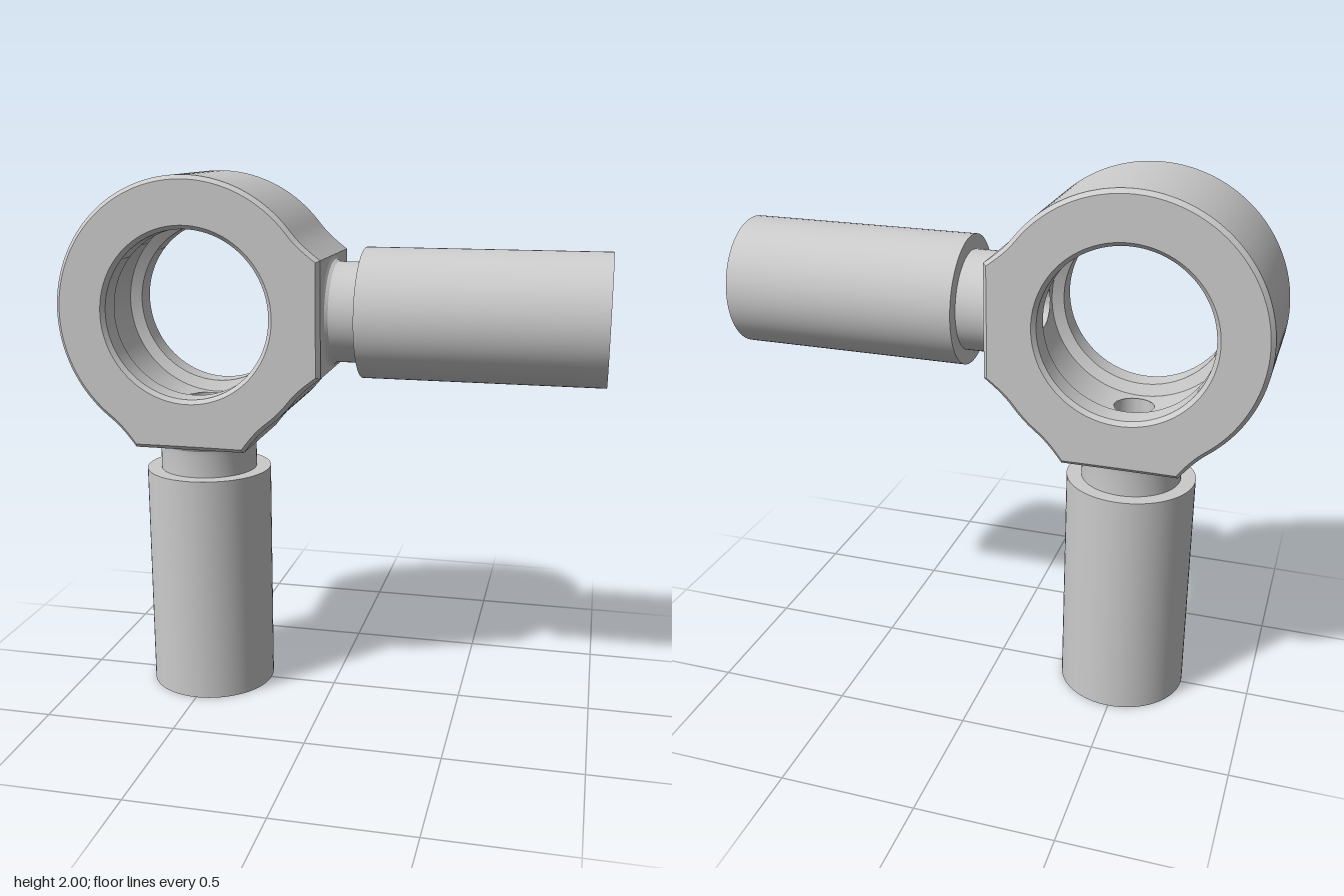
import * as THREE from 'three';
import { toCreasedNormals } from 'three/addons/utils/BufferGeometryUtils.js';

const RING_R = 0.5, BORE = 0.31, GROOVE = 0.35, HALF = 0.24, BEVEL = 0.015, HOLE = 0.074;
const BOSS = 0.21;                                   // half width of each flat boss
const BOSS_DEG = THREE.MathUtils.radToDeg(Math.atan(BOSS / RING_R));
const PATCH_DEG = 20, FILLET_DEG = 38, GROOVE_Z = 0.12;
const rad = THREE.MathUtils.degToRad;

const material = new THREE.MeshStandardMaterial({ color: 0xcccccc });

function addMesh(parent, name, geometry) {
  const mesh = new THREE.Mesh(toCreasedNormals(geometry, 0.4), material);
  mesh.name = name;
  parent.add(mesh);
}

// Grid surface over two parameter lists; cells can be left out
function grid(us, vs, point, skip = () => false) {
  const pos = [], index = [], w = vs.length;
  us.forEach(u => vs.forEach(v => pos.push(...point(u, v))));
  for (let i = 0; i < us.length - 1; i++) {
    for (let j = 0; j < w - 1; j++) {
      if (skip((us[i] + us[i + 1]) / 2, j)) continue;
      const a = i * w + j, b = a + w;
      index.push(a, b, a + 1, b, b + 1, a + 1);
    }
  }
  const g = new THREE.BufferGeometry();
  g.setAttribute('position', new THREE.Float32BufferAttribute(pos, 3));
  g.setIndex(index);
  return g;
}

// Angle from the nearest boss axis (bosses at 0 and -90 degrees)
const fromBoss = d => Math.min(Math.abs(d), Math.abs(d + 90));

// Ring outline: circle, with a flat boss and a concave fillet at each port
function outline(d) {
  const t = fromBoss(d);
  if (t <= BOSS_DEG) return RING_R / Math.cos(rad(t));
  if (t >= FILLET_DEG) return RING_R;
  const k = (FILLET_DEG - t) / (FILLET_DEG - BOSS_DEG);
  return RING_R + (RING_R / Math.cos(rad(BOSS_DEG)) - RING_R) * k * k;
}

// Ring section [radius, or inset from the outline when below 0.1, z]
function ringGeometry() {
  const e = HALF - BEVEL, lip = GROOVE_Z + 0.02;
  const section = [
    [0, -e], [0, e], [BEVEL, HALF],
    [BORE + BEVEL, HALF], [BORE, e], [BORE, lip],
    [GROOVE, GROOVE_Z], [GROOVE, -GROOVE_Z],
    [BORE, -lip], [BORE, -e], [BORE + BEVEL, -HALF],
    [BEVEL, -HALF], [0, -e],
  ];
  const degrees = [-BOSS_DEG, BOSS_DEG, -90 - BOSS_DEG, -90 + BOSS_DEG];
  for (let d = -180; d <= 180; d += 2) degrees.push(d);
  degrees.sort((a, b) => a - b);
  return grid(degrees, section, (d, [k, z]) => {
    const r = k < 0.1 ? outline(d) - k : k;
    return [r * Math.cos(rad(d)), r * Math.sin(rad(d)), z];
  }, (d, j) => (j === 0 && fromBoss(d) < BOSS_DEG) || (j === 6 && fromBoss(d) < PATCH_DEG));
}

// Rectangle with a round hole, laid on a surface by map(s, z)
function holedPatch(hs, hz, map, inward) {
  const us = Array.from({ length: 65 }, (_, i) => i / 64 * Math.PI * 2);
  const vs = [0, 0.25, 0.5, 0.75, 1];
  return grid(us, vs, (a, v) => {
    const c = Math.cos(a), s = Math.sin(a), m = Math.max(Math.abs(c), Math.abs(s));
    const t = inward ? v : 1 - v;
    return map(
      THREE.MathUtils.lerp(HOLE * c, hs * c / m, t),
      THREE.MathUtils.lerp(HOLE * s, hz * s / m, t));
  });
}

// Neck, sleeve, socket and inner nozzle as one turned part [radius, distance from ring centre]
function fittingGeometry() {
  const profile = [
    [0.205, 0.5], [0.194, 0.506], [0.187, 0.518], [0.185, 0.535],
    [0.185, 0.62], [0.24, 0.62], [0.24, 1.5],
    [0.214, 1.5], [0.18, 1.3], [0.18, 1.2],
    [0.117, 1.2], [0.117, 1.37], [0.087, 1.465],
    [0.08, 1.465], [HOLE, 1.455], [HOLE, 0.344],
  ].map(p => new THREE.Vector2(...p));
  return new THREE.LatheGeometry(profile, 64).rotateZ(-Math.PI / 2);
}

export function createModel() {
  const model = new THREE.Group();
  model.name = 'doublePortRingFitting';

  const body = new THREE.Group();
  body.name = 'fittingBody';
  body.position.set(-0.5, 1.5, 0);
  model.add(body);
  addMesh(body, 'ring', ringGeometry());

  // Two identical ports, one to the side and one downward
  [['sidePort', 0], ['lowerPort', -Math.PI / 2]].forEach(([name, angle]) => {
    const port = new THREE.Group();
    port.name = name;
    port.rotation.z = angle;
    body.add(port);
    addMesh(port, 'bossFace', holedPatch(BOSS, HALF - BEVEL, (s, z) => [RING_R, s, z], false));
    addMesh(port, 'grooveOutlet', holedPatch(GROOVE * rad(PATCH_DEG), GROOVE_Z,
      (s, z) => [GROOVE * Math.cos(s / GROOVE), GROOVE * Math.sin(s / GROOVE), z], true));
    addMesh(port, 'sleeveAndNozzle', fittingGeometry());
  });
  return model;
}
